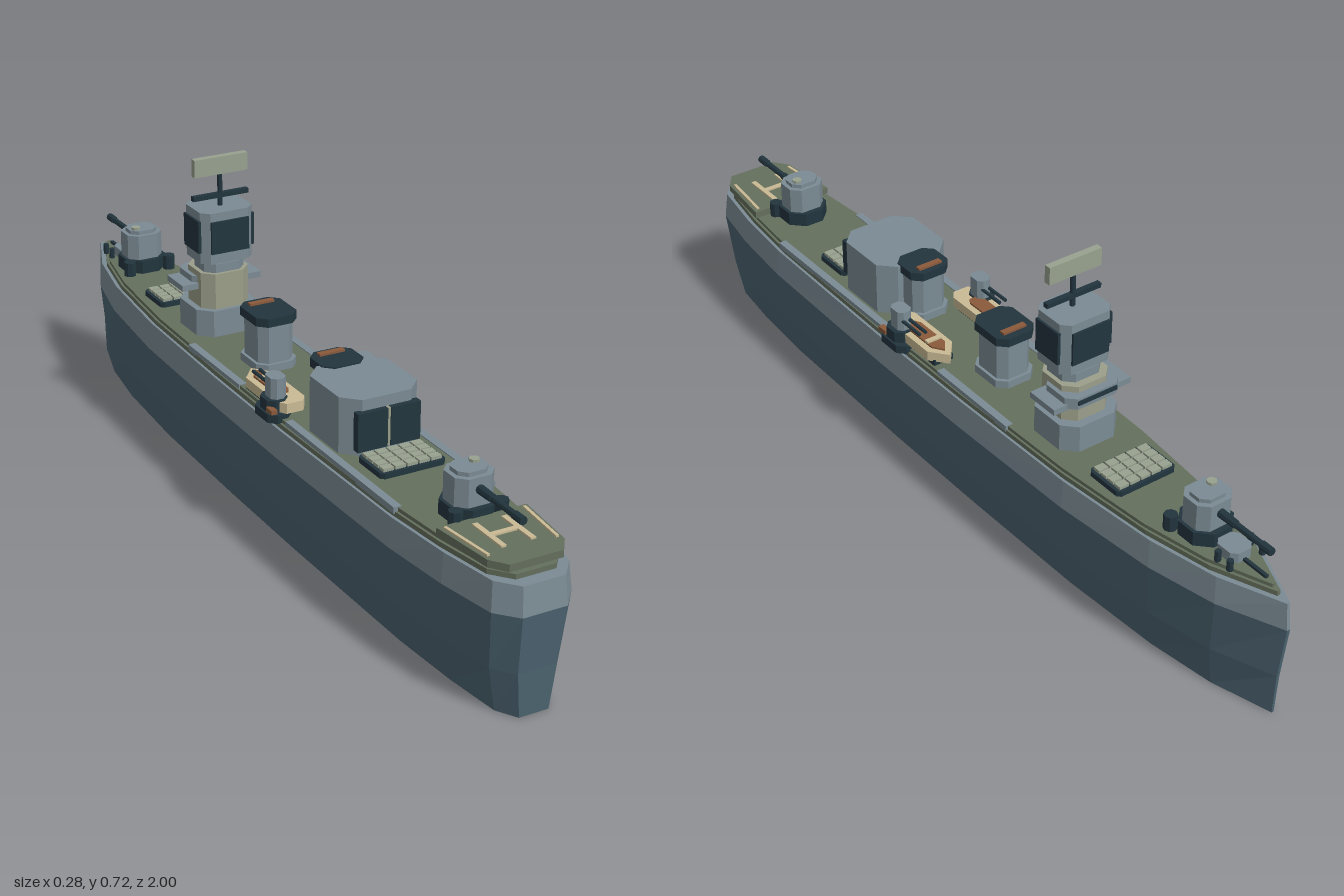
import * as THREE from 'three';

const mat = (name, color, side = THREE.FrontSide) =>
  Object.assign(new THREE.MeshStandardMaterial({ color, side }), { name });

export function createModel() {
  const M = {
    hull: mat('slate hull', 0x4c6471), grey: mat('ship grey', 0x7b8b94), deck: mat('deck green', 0x65705d),
    dark: mat('dark navy', 0x22353e), pale: mat('pale olive', 0x98a18f), khaki: mat('khaki', 0x9c9f8a),
    cream: mat('cream', 0xcabb95), rust: mat('rust', 0x8a5a3c),
  };
  const ship = new THREE.Group();
  ship.name = 'warship';

  // ---- helpers
  const add = (name, geo, m, x = 0, y = 0, z = 0, parent = ship) => {
    const mesh = new THREE.Mesh(geo, m);
    mesh.name = name;
    mesh.position.set(x, y, z);
    parent.add(mesh);
    return mesh;
  };
  const box = (name, m, w, h, d, x, y, z, parent) =>
    add(name, new THREE.BoxGeometry(w, h, d), m, x, y, z, parent);
  const flat = (g) => {
    const f = g.index ? g.toNonIndexed() : g;
    f.computeVertexNormals();
    return f;
  };
  const cyl = (name, m, r0, r1, h, x, y, z, parent, n = 8) =>
    add(name, flat(new THREE.CylinderGeometry(r1, r0, h, n)), m, x, y, z, parent);
  // upright prism from an outline of [x, z] points
  const prism = (name, m, pts, y0, y1, x = 0, z = 0, parent = ship) => {
    const s = new THREE.Shape(pts.map(([px, pz]) => new THREE.Vector2(px, -pz)));
    const g = new THREE.ExtrudeGeometry(s, { depth: y1 - y0, bevelEnabled: false });
    g.rotateX(-Math.PI / 2);
    return add(name, g, m, x, y0, z, parent);
  };
  // block with cut vertical corners
  const block = (name, m, w, d, c, y0, y1, x = 0, z = 0, parent = ship) => {
    const a = w / 2, b = d / 2;
    return prism(name, m, [[a, b - c], [a - c, b], [c - a, b], [-a, b - c],
      [-a, c - b], [c - a, -b], [a - c, -b], [a, c - b]], y0, y1, x, z, parent);
  };

  // ---- hull: half widths by z, mirrored, lofted over height levels
  const half = [[0.004, -1], [0.065, -0.86], [0.1, -0.7], [0.124, -0.45], [0.133, -0.1], [0.135, 0.2],
    [0.128, 0.65], [0.113, 0.82], [0.09, 0.955], [0.05, 1]];
  const outline = (sx, sz) => [...half.map(([x, z]) => [x * sx, z * sz]),
    ...[...half].reverse().map(([x, z]) => [-x * sx, z * sz])];
  const loft = (name, m, levels) => {
    const p = [], idx = [];
    levels.forEach(([y, sx, sz]) => outline(sx, sz).forEach(([x, z]) => p.push(x, y, z)));
    const n = half.length * 2;
    for (let l = 0; l < levels.length - 1; l++) for (let i = 0; i < n; i++) {
      const a = l * n + i, b = l * n + (i + 1) % n;
      idx.push(a, a + n, b, b, a + n, b + n);
    }
    const top = (levels.length - 1) * n;
    for (let i = 0; i < half.length - 1; i++) {
      const j = n - 1 - i;
      idx.push(i, i + 1, j, i + 1, j - 1, j);
      idx.push(top + i, top + j, top + i + 1, top + i + 1, top + j, top + j - 1);
    }
    const g = new THREE.BufferGeometry();
    g.setAttribute('position', new THREE.Float32BufferAttribute(p, 3));
    g.setIndex(idx);
    add(name, flat(g), m);
  };
  loft('lowerHull', M.hull, [[0, 0.67, 0.98], [0.1, 0.88, 0.985], [0.23, 1, 1]]);
  loft('upperHull', M.grey, [[0.23, 1, 1], [0.293, 0.945, 0.993]]);

  // ---- decks and side walkways
  prism('deckEdge', M.deck, outline(0.9, 0.965), 0.292, 0.304);
  prism('mainDeck', M.deck, outline(0.86, 0.95), 0.304, 0.312);
  for (const s of [-1, 1]) {
    box('forwardWalkway', M.grey, 0.018, 0.014, 0.25, s * 0.108, 0.307, -0.125);
    box('aftWalkway', M.grey, 0.018, 0.014, 0.44, s * 0.108, 0.307, 0.43);
  }

  // ---- stern landing deck with markings
  prism('landingDeck', M.deck, [[0.102, 0.78], [0.086, 0.93], [0.06, 0.965], [-0.06, 0.965],
    [-0.086, 0.93], [-0.102, 0.78]], 0.312, 0.328);
  for (const s of [-1, 1]) {
    box('landingBar', M.cream, 0.012, 0.004, 0.1, s * 0.033, 0.33, 0.855);
    const edge = box('landingEdgeLine', M.cream, 0.007, 0.004, 0.13, s * 0.083, 0.33, 0.855);
    edge.rotation.y = -s * 0.1;
  }
  box('landingCrossbar', M.cream, 0.055, 0.004, 0.012, 0, 0.33, 0.855);

  // ---- main gun turrets, barrel along +z of each group
  const turret = (z, turn) => {
    const g = new THREE.Group();
    g.name = 'mainTurret';
    g.position.z = z;
    g.rotation.y = turn;
    ship.add(g);
    block('turretBase', M.dark, 0.105, 0.105, 0.03, 0.31, 0.344, 0, 0, g);
    block('turretHouse', M.grey, 0.09, 0.08, 0.02, 0.344, 0.405, 0, 0, g);
    block('turretRoof', M.grey, 0.07, 0.06, 0.016, 0.405, 0.414, 0, 0, g);
    cyl('turretHatch', M.pale, 0.011, 0.011, 0.006, 0.018, 0.417, -0.01, g);
    cyl('barrel', M.dark, 0.007, 0.007, 0.15, 0, 0.38, 0.105, g).rotation.x = Math.PI / 2;
    cyl('barrelSleeve', M.dark, 0.01, 0.009, 0.05, 0, 0.38, 0.06, g).rotation.x = Math.PI / 2;
    cyl('muzzle', M.dark, 0.009, 0.009, 0.03, 0, 0.38, 0.172, g).rotation.x = Math.PI / 2;
    return g;
  };
  turret(0.73, 0);
  turret(-0.75, Math.PI);
  for (const s of [-1, 1]) {
    for (const z of [0.768, -0.705]) cyl('deckDrum', M.dark, 0.015, 0.015, 0.035, s * 0.052, 0.329, z);
    for (const z of [-0.87, -0.835]) cyl('bollard', M.dark, 0.007, 0.007, 0.025, s * 0.042, 0.324, z);
  }

  // ---- foredeck winch housing and chain
  block('winchHousing', M.grey, 0.056, 0.06, 0.012, 0.31, 0.335, 0, -0.835);
  box('anchorChain', M.dark, 0.008, 0.006, 0.07, 0, 0.315, -0.895);

  // ---- missile cell banks
  for (const z of [-0.525, 0.487]) {
    block('cellBase', M.dark, 0.152, 0.098, 0.008, 0.31, 0.324, 0, z);
    for (let i = 0; i < 5; i++) for (let j = 0; j < 4; j++)
      box('cellHatch', M.pale, 0.024, 0.008, 0.018, (i - 2) * 0.028, 0.327, z + (j - 1.5) * 0.022);
  }

  // ---- bridge tower
  const tz = -0.33;
  block('towerBase', M.grey, 0.15, 0.145, 0.03, 0.31, 0.375, 0, tz - 0.005);
  block('towerMiddle', M.khaki, 0.12, 0.115, 0.025, 0.375, 0.46, 0, tz);
  box('bridgeWing', M.grey, 0.2, 0.014, 0.08, 0, 0.424, -0.35);
  block('bridgeHouse', M.grey, 0.14, 0.1, 0.02, 0.42, 0.446, 0, -0.355);
  box('bridgeWindows', M.dark, 0.1, 0.01, 0.006, 0, 0.436, -0.405);
  block('towerTop', M.grey, 0.1, 0.09, 0.02, 0.46, 0.481, 0, tz + 0.005);
  cyl('towerNeck', M.dark, 0.03, 0.03, 0.012, 0, 0.485, -0.322);
  block('sensorHead', M.grey, 0.13, 0.106, 0.018, 0.487, 0.608, 0, -0.322);
  for (const s of [-1, 1]) {
    box('sensorPanel', M.dark, 0.094, 0.076, 0.008, 0, 0.55, -0.322 + s * 0.054);
    box('sideSensorPanel', M.dark, 0.008, 0.076, 0.074, s * 0.066, 0.55, -0.322);
  }
  cyl('mast', M.dark, 0.006, 0.006, 0.08, 0, 0.645, -0.315);
  box('mastYard', M.dark, 0.138, 0.011, 0.012, 0, 0.633, -0.315);
  box('radarPanel', M.pale, 0.132, 0.041, 0.016, 0, 0.704, -0.315);

  // ---- funnels
  const funnel = (z, d) => {
    block('funnelBase', M.grey, 0.1, d + 0.014, 0.02, 0.31, 0.33, 0, z);
    block('funnel', M.grey, 0.086, d, 0.018, 0.33, 0.42, 0, z);
    block('funnelCap', M.dark, 0.1, d + 0.016, 0.02, 0.42, 0.44, 0, z);
    box('funnelVent', M.rust, 0.06, 0.008, 0.014, 0, 0.441, z - d * 0.33);
  };
  funnel(-0.085, 0.1);
  funnel(0.22, 0.075);

  // ---- hangar with double door facing the stern
  block('hangar', M.grey, 0.184, 0.19, 0.035, 0.31, 0.437, 0, 0.33);
  for (const s of [-1, 1]) box('hangarDoor', M.dark, 0.07, 0.085, 0.018, s * 0.0385, 0.37, 0.428);
  box('doorSeam', M.khaki, 0.007, 0.085, 0.014, 0, 0.37, 0.428);

  // ---- boats and side guns on both beams
  for (const s of [-1, 1]) {
    const boat = (k, l) => [[0, -l], [k, -l * 0.6], [k, l * 0.8], [k * 0.6, l], [-k * 0.6, l], [-k, l * 0.8], [-k, -l * 0.6]];
    box('boatCradle', M.dark, 0.05, 0.02, 0.15, s * 0.085, 0.316, 0.095);
    prism('boatHull', M.cream, boat(0.033, 0.1), 0.322, 0.345, s * 0.085, 0.095);
    prism('boatInterior', M.rust, boat(0.018, 0.065), 0.345, 0.349, s * 0.085, 0.08);
    box('boatBench', M.cream, 0.036, 0.006, 0.012, s * 0.085, 0.35, 0.06);

    block('sponson', M.dark, 0.056, 0.09, 0.016, 0.303, 0.322, s * 0.114, 0.15);
    block('gunRing', M.dark, 0.05, 0.06, 0.015, 0.322, 0.348, s * 0.112, 0.15);
    box('ammoBox', M.rust, 0.014, 0.01, 0.025, s * 0.133, 0.33, 0.18);
    block('sideGunHouse', M.grey, 0.036, 0.046, 0.01, 0.345, 0.395, s * 0.108, 0.15);
    for (const o of [-0.008, 0.008])
      cyl('sideGunBarrel', M.dark, 0.004, 0.004, 0.07, s * 0.108 + o, 0.372, 0.1).rotation.x = Math.PI / 2;
  }
  return ship;
}
